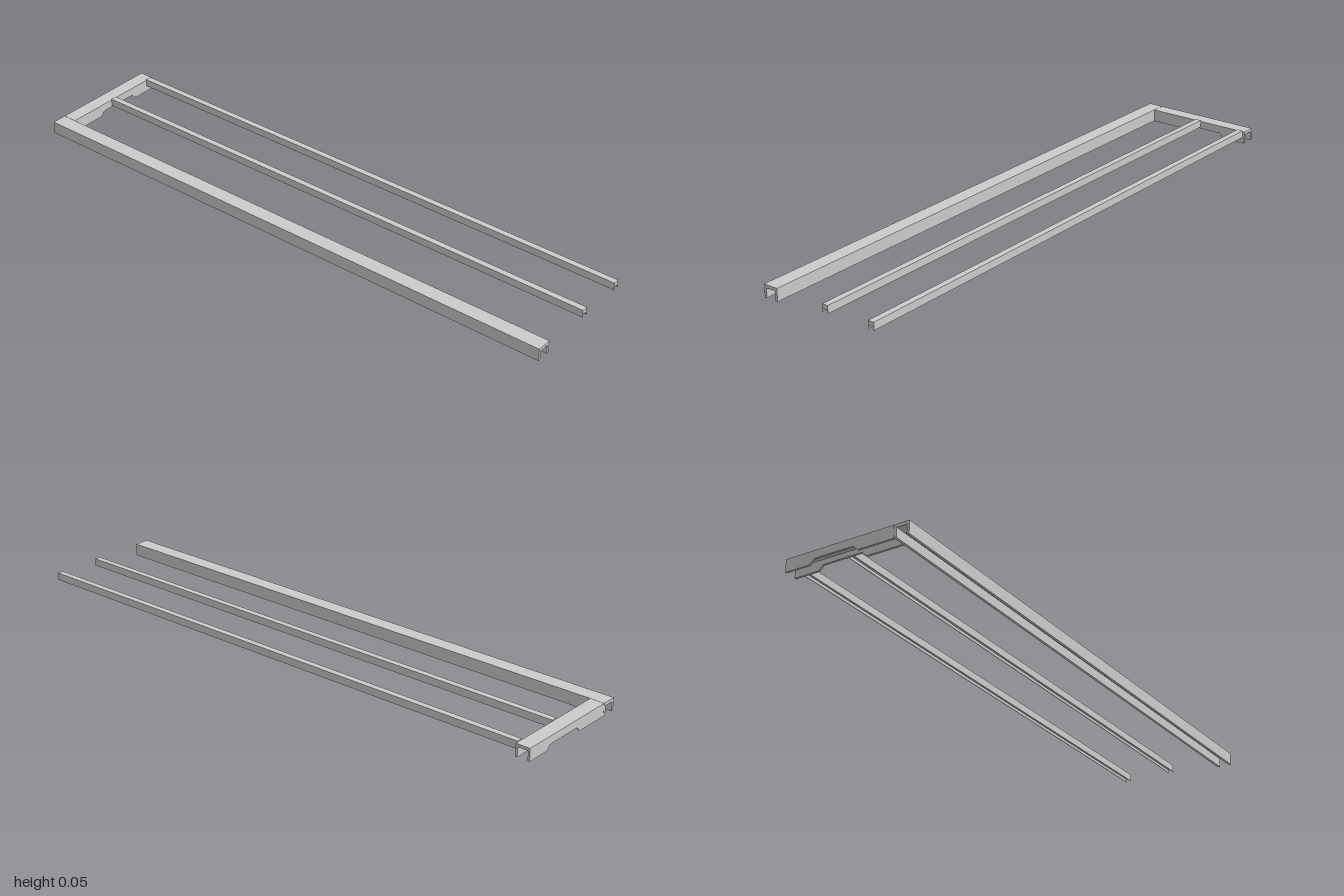
import * as THREE from 'three';

const material = new THREE.MeshStandardMaterial({ color: 0xcccccc, flatShading: true });

// Extrude an outline drawn in x and y from z0 to z1
function extrude(name, points, z0, z1) {
  const shape = new THREE.Shape(points.map(([x, y]) => new THREE.Vector2(x, y)));
  const geometry = new THREE.ExtrudeGeometry(shape, { depth: z1 - z0, bevelEnabled: false });
  geometry.translate(0, 0, z0);
  const mesh = new THREE.Mesh(geometry, material);
  mesh.name = name;
  return mesh;
}

// Channel section, open at the bottom
function channel(name, x0, x1, y0, y1, wall, web, z0, z1) {
  return extrude(name, [
    [x0, y0], [x0 + wall, y0], [x0 + wall, y1 - web], [x1 - wall, y1 - web],
    [x1 - wall, y0], [x1, y0], [x1, y1], [x0, y1],
  ], z0, z1);
}

export function createModel() {
  const group = new THREE.Group();
  group.name = 'railFrame';

  // Wide main channel along the whole length
  group.add(channel('mainChannel', -0.22, -0.168, 0, 0.043, 0.0085, 0.011, -1, 1));

  // Cross channel at the back: two notched flanges under a flat web
  const cross = new THREE.Group();
  cross.name = 'crossChannel';
  const left = -0.167, right = 0.218, webBottom = 0.033, top = 0.043;
  const flange = [
    [left, 0], [-0.041, 0], [-0.024, 0.016], [0.114, 0.016],
    [0.131, 0], [right, 0], [right, webBottom], [left, webBottom],
  ];
  cross.add(extrude('backFlange', flange, -1, -0.993));
  cross.add(extrude('frontFlange', flange, -0.957, -0.95));
  cross.add(extrude('crossWeb', [
    [left, webBottom], [right, webBottom], [right, top], [left, top],
  ], -1, -0.95));
  group.add(cross);

  // Two slim rails running forward from the cross channel
  for (const [name, x] of [['middleRail', 0.0235], ['outerRail', 0.2]]) {
    group.add(channel(name, x - 0.0105, x + 0.0105, 0.021, 0.047, 0.002, 0.016, -0.95, 1));
  }
  return group;
}
